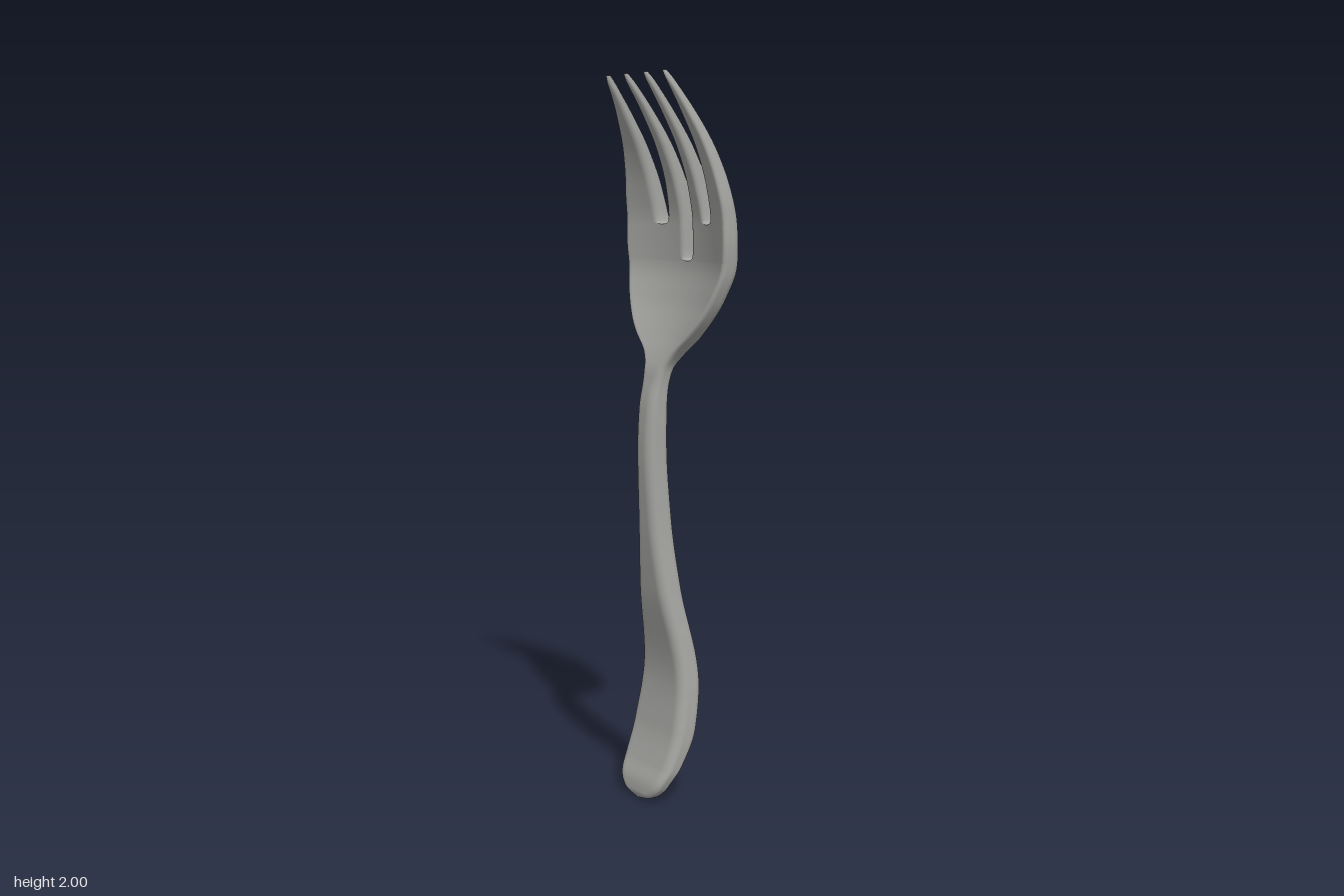
import * as THREE from 'three';

// Smooth monotone interpolation through [y, value] pairs
function curve(pts) {
  const n = pts.length;
  const slope = pts.slice(1).map((p, i) => (p[1] - pts[i][1]) / (p[0] - pts[i][0]));
  const tan = pts.map((_, i) => {
    if (i === 0) return slope[0];
    if (i === n - 1) return slope[n - 2];
    const a = slope[i - 1], b = slope[i];
    return a * b <= 0 ? 0 : (2 * a * b) / (a + b);
  });
  return (y) => {
    let i = 0;
    while (i < n - 2 && y > pts[i + 1][0]) i++;
    const h = pts[i + 1][0] - pts[i][0];
    const t = Math.min(1, Math.max(0, (y - pts[i][0]) / h));
    const t2 = t * t, t3 = t2 * t;
    return (2 * t3 - 3 * t2 + 1) * pts[i][1] + (t3 - 2 * t2 + t) * h * tan[i]
      + (3 * t2 - 2 * t3) * pts[i + 1][1] + (t3 - t2) * h * tan[i + 1];
  };
}

// Outer half width
const outer = curve([[0, 0], [0.004, 0.035], [0.018, 0.068], [0.045, 0.092], [0.1, 0.109],
  [0.18, 0.113], [0.3, 0.105], [0.4, 0.092], [0.6, 0.063], [0.8, 0.043], [1, 0.037], [1.15, 0.038],
  [1.21, 0.045], [1.25, 0.07], [1.3, 0.125], [1.35, 0.166], [1.4, 0.195], [1.48, 0.222],
  [1.56, 0.23], [1.65, 0.225], [1.75, 0.206], [1.85, 0.18], [1.95, 0.15], [1.985, 0.139], [2, 0.133]]);
// Middle height of the sheet in z, half thickness, and cupping across the width
const bend = curve([[0, 0.095], [0.05, 0.08], [0.1, 0.052], [0.2, 0.012], [0.35, -0.009], [0.6, 0.028],
  [0.8, 0.046], [1, 0.055], [1.1, 0.052], [1.2, 0.035], [1.25, 0.01], [1.3, -0.02], [1.4, -0.067],
  [1.5, -0.091], [1.6, -0.088], [1.7, -0.068], [1.8, -0.028], [1.9, 0.033], [2, 0.107]]);
const half = curve([[0, 0.012], [0.02, 0.023], [0.1, 0.031], [0.2, 0.037], [0.6, 0.038], [1, 0.036],
  [1.1, 0.033], [1.2, 0.027], [1.5, 0.027], [1.7, 0.024], [1.8, 0.021], [1.9, 0.017], [1.98, 0.012], [2, 0.007]]);
const cup = curve([[0, 0], [1.15, 0], [1.3, 1.5], [1.4, 1.2], [1.5, 1], [1.7, 0.95], [1.8, 0.8],
  [1.9, 0.5], [2, 0]]);
const rim = curve([[0, 0.03], [1.15, 0.028], [1.3, 0.016], [2, 0.012]]);

// Edges of the slots between the tines
const centreSlot = curve([[1.5, 0], [1.503, 0.009], [1.51, 0.014], [1.53, 0.017], [1.6, 0.018],
  [1.8, 0.026], [1.95, 0.035], [1.985, 0.039], [2, 0.042]]);
const sideSlotIn = curve([[1.6, 0.102], [1.603, 0.092], [1.61, 0.086], [1.64, 0.081], [1.8, 0.067],
  [1.95, 0.056], [1.985, 0.053], [2, 0.049]]);
const sideSlotOut = curve([[1.6, 0.102], [1.603, 0.112], [1.61, 0.117], [1.64, 0.122], [1.8, 0.127],
  [1.95, 0.127], [2, 0.128]]);

// Edge rounding radii: full rim outside, growing from nothing inside a slot
const rimCentre = (y) => Math.min(rim(y), centreSlot(y));
const rimSide = (y) => Math.min(rim(y), sideSlotOut(y) - 0.102);

// Loft of rounded cross-sections between two edges, from height y0 to y1
function loft(left, right, rimL, rimR, y0, y1, rows, cols, spacing, capped) {
  const pos = [], idx = [];
  const ring = 2 * (cols + 1);
  const edge = (d, r) => (d >= r ? 1 : 0.3 + 0.7 * Math.sqrt(1 - (1 - d / r) ** 2));
  for (let i = 0; i <= rows; i++) {
    const y = y0 + (y1 - y0) * spacing(i / rows);
    const a = left(y), b = right(y), w = Math.max(0, b - a);
    const ra = Math.min(rimL(y), w / 2), rb = Math.min(rimR(y), w / 2);
    for (let k = 0; k < ring; k++) {
      const front = k <= cols;
      const j = front ? k : ring - 1 - k;
      const d = (w * (1 - Math.cos((Math.PI * j) / cols))) / 2;
      const x = a + d;
      const h = half(y) * edge(d, ra) * edge(Math.max(0, w - d), rb);
      pos.push(x, y, bend(y) + cup(y) * x * x + (front ? h : -h));
    }
  }
  for (let i = 0; i < rows; i++) {
    for (let k = 0; k < ring; k++) {
      const a = i * ring + k, b = i * ring + ((k + 1) % ring);
      idx.push(a, b, a + ring, b, b + ring, a + ring);
    }
  }
  if (capped) {
    // Separate vertices keep the tip edge crisp
    const base = pos.length / 3, last = rows * ring;
    for (let k = 0; k < ring; k++) pos.push(...pos.slice((last + k) * 3, (last + k) * 3 + 3));
    for (let k = 1; k < ring - 1; k++) idx.push(base, base + k, base + k + 1);
  }
  const g = new THREE.BufferGeometry();
  g.setAttribute('position', new THREE.Float32BufferAttribute(pos, 3));
  g.setIndex(idx);
  g.computeVertexNormals();
  return g;
}

export function createModel() {
  const group = new THREE.Group();
  group.name = 'fork';
  const metal = new THREE.MeshStandardMaterial({ color: 0xa3a3a0 });
  metal.name = 'grey metal';

  const add = (name, geometry) => {
    const mesh = new THREE.Mesh(geometry, metal);
    mesh.name = name;
    group.add(mesh);
  };
  const neg = (f) => (y) => -f(y);
  // One piece on each side of the centre line
  const addPair = (name, inner, outerEdge, rimIn, rimOut, y0, y1, rows, cols, spacing, capped) => {
    add(name + 'Left', loft(inner, outerEdge, rimIn, rimOut, y0, y1, rows, cols, spacing, capped));
    add(name + 'Right', loft(neg(outerEdge), neg(inner), rimOut, rimIn, y0, y1, rows, cols, spacing, capped));
  };

  // Handle, neck and lower bowl
  add('handleAndBowl', loft(neg(outer), outer, rim, rim, 0, 1.5, 150, 40, (t) => 0.25 * t * t + 0.75 * t ** 1.3, false));

  // Bowl beside the centre slot
  addPair('upperBowl', centreSlot, outer, rimCentre, rim, 1.5, 1.6, 20, 36, (t) => t * t, false);

  // Four tines
  const tineRows = (t) => t * t * (2 - t);
  addPair('innerTine', centreSlot, sideSlotIn, rimCentre, rimSide, 1.6, 2, 44, 20, tineRows, true);
  addPair('outerTine', sideSlotOut, outer, rimSide, rim, 1.6, 2, 44, 20, tineRows, true);

  return group;
}
